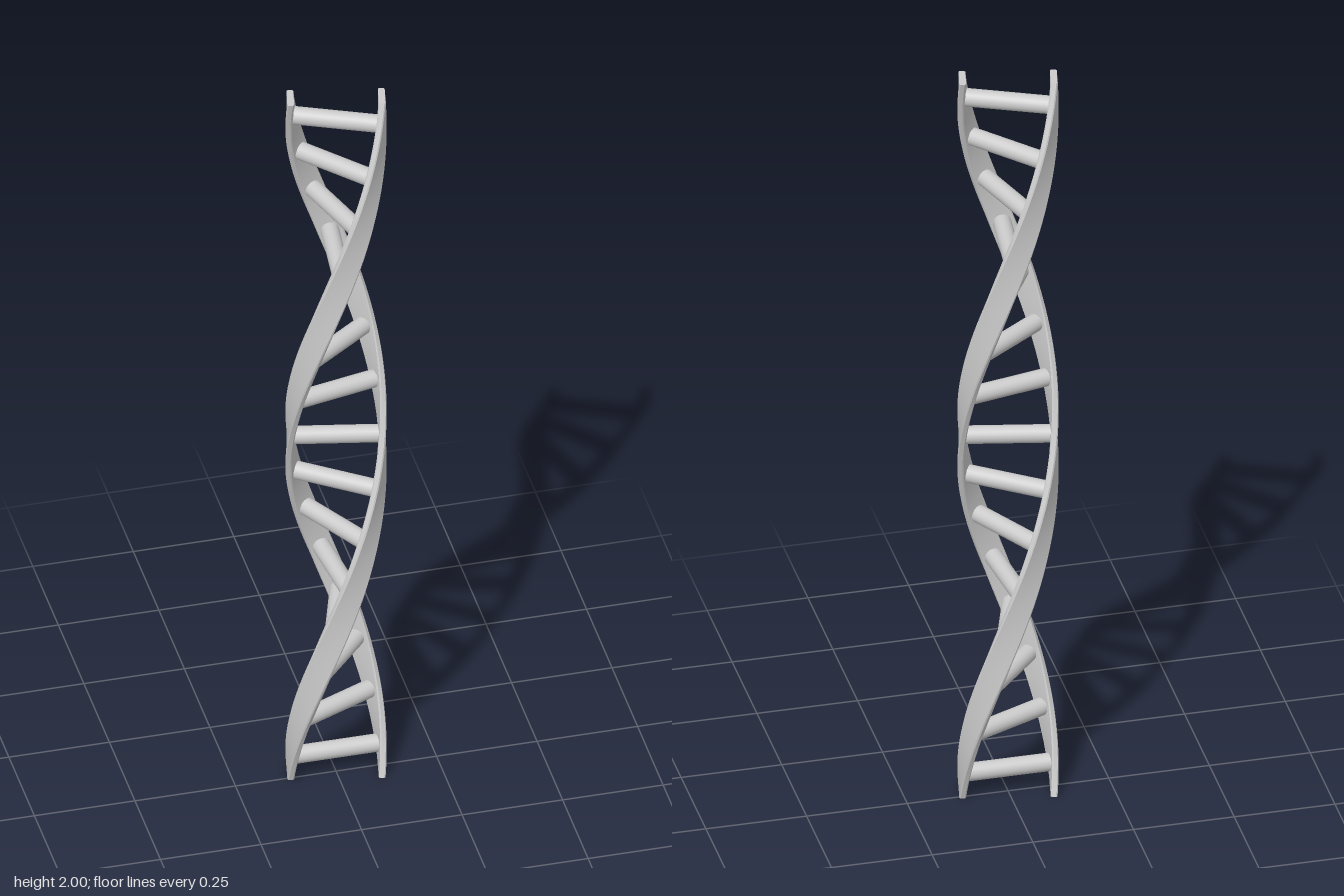
import * as THREE from 'three';
import { toCreasedNormals } from 'three/addons/utils/BufferGeometryUtils.js';

const HEIGHT = 2;
const RUNGS = 15;
const INNER = 0.102, OUTER = 0.1185; // radial limits of the ribbons
const HALF_WIDTH = 0.033;
const BEVEL = 0.003;

// twist angle about the axis at a given height: one full turn overall
const angleAt = (y) => THREE.MathUtils.degToRad(78) + (y / HEIGHT) * Math.PI * 2;

// flat strip with chamfered edges, extruded upwards and twisted around the axis
function ribbonGeometry() {
  const w = HALF_WIDTH, b = BEVEL;
  const section = new THREE.Shape([
    [-w + b, INNER], [w - b, INNER], [w, INNER + b], [w, OUTER - b],
    [w - b, OUTER], [-w + b, OUTER], [-w, OUTER - b], [-w, INNER + b],
  ].map(([x, y]) => new THREE.Vector2(x, y)));
  const geo = new THREE.ExtrudeGeometry(section, { depth: HEIGHT, steps: 120, bevelEnabled: false });
  geo.rotateX(-Math.PI / 2);
  const pos = geo.attributes.position;
  const axis = new THREE.Vector3(0, 1, 0);
  const v = new THREE.Vector3();
  for (let i = 0; i < pos.count; i++) {
    v.fromBufferAttribute(pos, i);
    v.applyAxisAngle(axis, angleAt(v.y));
    pos.setXYZ(i, v.x, v.y, v.z);
  }
  return toCreasedNormals(geo, Math.PI / 7);
}

export function createModel() {
  const model = new THREE.Group();
  model.name = 'doubleHelix';
  const material = new THREE.MeshStandardMaterial({ color: 0xcccccc });

  // two opposite strands
  const ribbon = ribbonGeometry();
  ['strandA', 'strandB'].forEach((name, i) => {
    const strand = new THREE.Mesh(ribbon, material);
    strand.name = name;
    strand.rotation.y = i * Math.PI;
    model.add(strand);
  });

  // rungs, each made of two half bars meeting on the axis
  const length = INNER + 0.003;
  const bar = new THREE.CylinderGeometry(0.0225, 0.0225, length, 24);
  bar.rotateX(Math.PI / 2);
  for (let i = 0; i < RUNGS; i++) {
    const rung = new THREE.Group();
    rung.name = `rung${i + 1}`;
    rung.position.y = ((i + 0.5) * HEIGHT) / RUNGS;
    rung.rotation.y = angleAt(rung.position.y);
    for (const side of [-1, 1]) {
      const half = new THREE.Mesh(bar, material);
      half.name = side > 0 ? 'rungHalfA' : 'rungHalfB';
      half.position.z = (side * length) / 2;
      rung.add(half);
    }
    model.add(rung);
  }
  return model;
}
